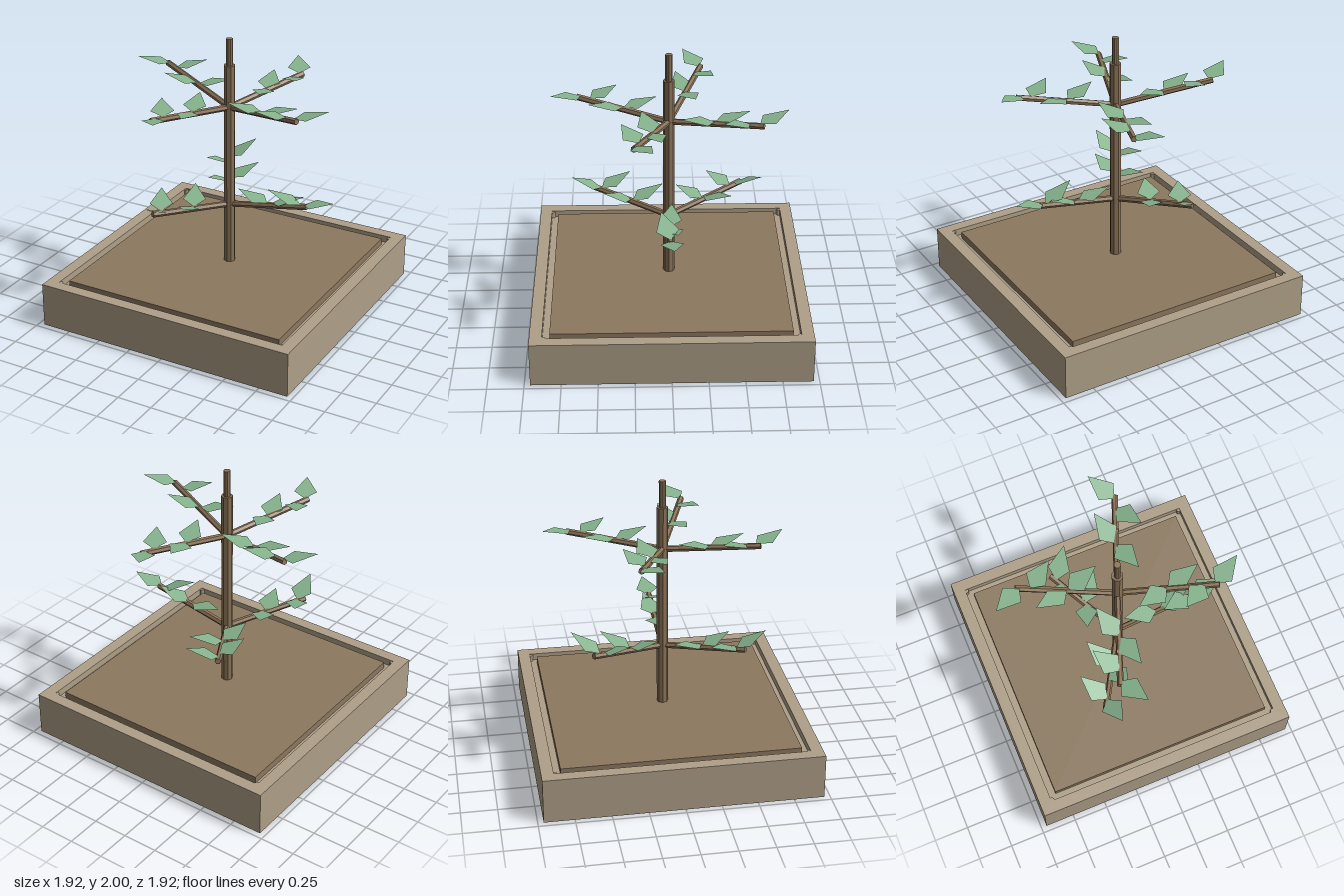
import * as THREE from 'three';

const mat = (name, color, extra = {}) => {
  const m = new THREE.MeshStandardMaterial({ color, ...extra });
  m.name = name;
  return m;
};

export function createModel() {
  const model = new THREE.Group();
  model.name = 'plantedTray';
  const tray = mat('trayTan', 0xae9f87, { flatShading: true });
  const soil = mat('soilBrown', 0x8c785f, { flatShading: true });
  const bark = mat('barkBrown', 0x8b7357, { flatShading: true });
  const green = mat('leafGreen', 0x86b38d, { flatShading: true, side: THREE.DoubleSide });

  const add = (parent, name, geometry, material, x = 0, y = 0, z = 0) => {
    const mesh = new THREE.Mesh(geometry, material);
    mesh.name = name;
    mesh.position.set(x, y, z);
    parent.add(mesh);
    return mesh;
  };

  // Tray: solid base, raised rim, small corner posts
  add(model, 'trayBase', new THREE.BoxGeometry(1.92, 0.27, 1.92), tray, 0, 0.135, 0);
  const square = (path, r) => path.moveTo(-r, -r).lineTo(r, -r).lineTo(r, r).lineTo(-r, r).closePath();
  const rimShape = square(new THREE.Shape(), 0.96);
  rimShape.holes.push(square(new THREE.Path(), 0.875));
  const rimGeo = new THREE.ExtrudeGeometry(rimShape, { depth: 0.05, bevelEnabled: false });
  rimGeo.rotateX(-Math.PI / 2);
  add(model, 'trayRim', rimGeo, tray, 0, 0.27, 0);
  for (const sx of [-1, 1]) for (const sz of [-1, 1]) {
    add(model, 'cornerPost', new THREE.CylinderGeometry(0.02, 0.02, 0.31, 10), tray, sx * 0.87, 0.16, sz * 0.87);
  }

  // Soil block, leaving a narrow groove inside the rim
  add(model, 'soil', new THREE.BoxGeometry(1.65, 0.06, 1.65), soil, 0, 0.29, 0);

  // Trunk with a thinner leader on top
  add(model, 'trunk', new THREE.CylinderGeometry(0.04, 0.04, 1.51, 8), bark, 0, 1.055, 0);
  add(model, 'leader', new THREE.CylinderGeometry(0.024, 0.024, 0.2, 8), bark, 0, 1.9, 0);

  // Kite-shaped leaf between a base and a tip
  const addLeaf = (parent, base, tip) => {
    const along = tip.clone().sub(base);
    const side = new THREE.Vector3(-along.z, 0, along.x).normalize().multiplyScalar(0.08);
    const mid = base.clone().addScaledVector(along, 0.32);
    const pts = [base, mid.clone().add(side), tip, mid.clone().sub(side)];
    const geo = new THREE.BufferGeometry().setFromPoints(pts);
    geo.setIndex([0, 1, 2, 0, 2, 3]);
    geo.computeVertexNormals();
    add(parent, 'leaf', geo, green);
  };

  // Branch heading outwards; leaves are [base along, tip along, tip sideways, rise]
  const up = new THREE.Vector3(0, 1, 0);
  const addBranch = (angle, y0, y1, reach, leaves) => {
    const branch = new THREE.Group();
    branch.name = 'branch';
    model.add(branch);
    const c = Math.cos(angle), s = Math.sin(angle);
    const at = (u, v, lift) => new THREE.Vector3(
      u * c - v * s, y0 + (y1 - y0) * u / reach + lift, u * s + v * c);
    const start = at(0, 0, 0), end = at(reach, 0, 0);
    const dir = end.clone().sub(start);
    const stem = add(branch, 'stem', new THREE.CylinderGeometry(0.022, 0.022, dir.length(), 6), bark);
    stem.position.copy(start).addScaledVector(dir, 0.5);
    stem.quaternion.setFromUnitVectors(up, dir.normalize());
    for (const [u, tu, tv, rise] of leaves) {
      const base = at(u, 0, 0.015), tip = at(tu, tv, 0);
      tip.y = base.y + rise;
      addLeaf(branch, base, tip);
    }
  };

  // Upper tier: four branches a quarter turn apart
  const upperLeaves = [
    [0.65, 0.80, -0.18, 0.05], [0.58, 0.45, 0.175, 0.05],
    [0.335, 0.54, -0.144, 0.05], [0.33, 0.14, 0.147, 0.05],
  ];
  [1.61, 1.58, 1.63, 1.575].forEach((y, i) =>
    addBranch(0.365 + i * Math.PI / 2, 1.5, y, 0.68, upperLeaves));

  // Lower tier: three branches a third of a turn apart
  addBranch(0, 0.765, 0.88, 0.605, [
    [0.58, 0.80, -0.02, 0.05], [0.56, 0.33, 0.06, 0.09],
    [0.33, 0.56, -0.05, 0.08], [0.30, 0.06, -0.02, 0.05],
  ]);
  addBranch(Math.PI * 2 / 3, 0.765, 0.835, 0.615, [
    [0.55, 0.72, -0.13, 0.10], [0.55, 0.43, 0.205, 0.07],
    [0.30, 0.45, -0.14, 0.07], [0.29, 0.16, 0.2, 0.07],
  ]);
  addBranch(Math.PI * 4 / 3, 0.765, 0.87, 0.605, [
    [0.55, 0.642, 0.211, 0.11], [0.51, 0.41, -0.16, 0.07],
    [0.29, 0.386, 0.22, 0.08], [0.28, 0.15, -0.15, 0.07],
  ]);

  return model;
}
